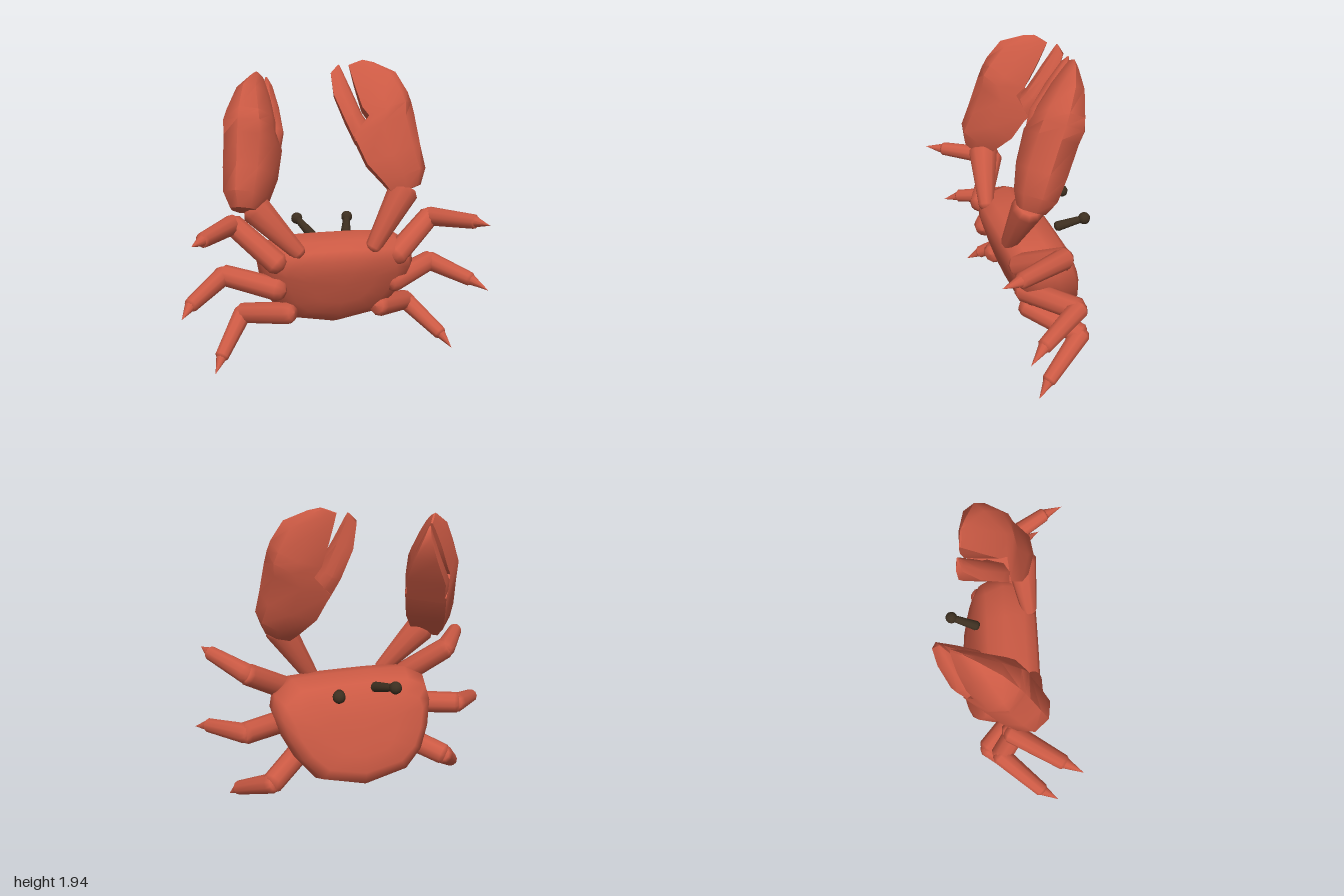
import * as THREE from 'three';
import { toCreasedNormals } from 'three/addons/utils/BufferGeometryUtils.js';

const V3 = (p) => new THREE.Vector3(...p);

// Skin a list of equal-length rings (counter-clockwise about the advance axis) and cap both ends
function loft(rings) {
  const n = rings[0].length, pos = [], idx = [];
  rings.forEach((r) => r.forEach((p) => pos.push(...p)));
  for (let i = 0; i < rings.length - 1; i++) {
    for (let j = 0; j < n; j++) {
      const a = i * n + j, b = i * n + (j + 1) % n;
      idx.push(a, b, b + n, a, b + n, a + n);
    }
  }
  [rings[0], rings[rings.length - 1]].forEach((r, end) => {
    const c = pos.length / 3, base = end ? (rings.length - 1) * n : 0;
    pos.push(...[0, 1, 2].map((k) => r.reduce((s, p) => s + p[k], 0) / n));
    for (let j = 0; j < n; j++) {
      const a = base + j, b = base + (j + 1) % n;
      if (end) idx.push(c, a, b); else idx.push(c, b, a);
    }
  });
  const g = new THREE.BufferGeometry();
  g.setAttribute('position', new THREE.Float32BufferAttribute(pos, 3));
  g.setIndex(idx);
  g.computeVertexNormals();
  return g;
}

// Mesh whose geometry runs along +y, turned to point from a to b
function aim(name, geo, a, b, material) {
  const mesh = new THREE.Mesh(geo, material);
  mesh.name = name;
  mesh.position.set(...a);
  mesh.quaternion.setFromUnitVectors(new THREE.Vector3(0, 1, 0), V3(b).sub(V3(a)).normalize());
  return mesh;
}

// Rounded, tapered segment between two points
function segment(name, a, b, r1, r2, material) {
  const len = V3(a).distanceTo(V3(b));
  const profile = [[0, -r1 * 0.7], [r1 * 0.7, -r1 * 0.5], [r1, 0], [r2, len],
    [r2 * 0.7, len + r2 * 0.35], [0, len + r2 * 0.4]].map((p) => new THREE.Vector2(...p));
  return aim(name, new THREE.LatheGeometry(profile, 10), a, b, material);
}

// Pointed leg tip
function spike(a, b, r, material) {
  const len = V3(a).distanceTo(V3(b));
  return aim('legTip', new THREE.ConeGeometry(r, len, 10).translate(0, len / 2, 0), a, b, material);
}

// Claw piece from rows of [along, outer edge, inner edge, half thickness];
// 'blunt' is the relative thickness of the inner edge
function clawPart(name, rows, blunt, material) {
  const rings = rows.map(([v, l, r, t]) => {
    const w = r - l, e = blunt * t;
    return [[l, v, 0], [l + w * 0.16, v, t * 0.75], [l + w * 0.55, v, t], [r, v, e],
      [r, v, -e], [l + w * 0.55, v, -t], [l + w * 0.16, v, -t * 0.75]];
  });
  const mesh = new THREE.Mesh(toCreasedNormals(loft(rings), 0.9), material);
  mesh.name = name;
  return mesh;
}

// Whole claw, placed by its wrist, length axis and thumb direction
function claw(name, wrist, along, thumb, material) {
  const g = new THREE.Group();
  g.name = name;
  g.add(clawPart('palmAndFinger', [
    [-0.04, -0.11, 0.08, 0.09], [0.05, -0.178, 0.11, 0.135], [0.2, -0.2, 0.17, 0.155],
    [0.4, -0.235, 0.185, 0.16], [0.48, -0.245, 0.05, 0.16], [0.55, -0.247, 0.07, 0.14],
    [0.7, -0.22, 0.062, 0.085], [0.81, -0.11, 0.052, 0.03], [0.85, -0.05, 0.048, 0.006],
  ], 0.8, material));
  g.add(clawPart('thumb', [
    [0.36, 0.04, 0.187, 0.128], [0.52, 0.08, 0.2, 0.135], [0.7, 0.09, 0.208, 0.075],
    [0.84, 0.1, 0.175, 0.022], [0.875, 0.104, 0.114, 0.005],
  ], 0.9, material));
  const v = V3(along).normalize();
  const u = V3(thumb).addScaledVector(v, -V3(thumb).dot(v)).normalize();
  const w = new THREE.Vector3().crossVectors(u, v);
  g.quaternion.setFromRotationMatrix(new THREE.Matrix4().makeBasis(u, v, w));
  g.position.set(...wrist);
  return g;
}

export function createModel() {
  const shell = new THREE.MeshStandardMaterial({ color: 0xcc5a44 });
  shell.name = 'shellRed';
  const dark = new THREE.MeshStandardMaterial({ color: 0x3d2f20 });
  dark.name = 'eyeBrown';
  const crab = new THREE.Group();
  crab.name = 'crab';

  // Body: one outline scaled through its depth, leaning back and slightly turned
  const outline = [[0.565, 0.66], [0.54, 0.76], [0.42, 0.85], [0.2, 0.862], [-0.1, 0.865],
    [-0.33, 0.86], [-0.45, 0.8], [-0.47, 0.7], [-0.435, 0.52], [-0.37, 0.36], [-0.25, 0.235],
    [0.05, 0.165], [0.34, 0.235], [0.46, 0.38], [0.53, 0.52]];
  const layers = [[-0.3, 0.45, 0.35], [-0.288, 0.8, 0.66], [-0.25, 0.93, 0.88], [-0.14, 1, 1],
    [0, 0.97, 0.93], [0.08, 0.88, 0.8], [0.12, 0.7, 0.6], [0.135, 0.4, 0.33]];
  const body = new THREE.Mesh(loft(layers.map(([z, sx, sy]) => outline.map(([px, py]) => {
    const x = 0.04 + (px - 0.04) * sx, y = 0.53 + (py - 0.53) * sy;
    return [x, y, z + 0.3 * (y - 0.52) + 0.09 * (x - 0.04)];
  }))), shell);
  body.name = 'body';
  crab.add(body);

  // Legs: hip, knee, ankle, tip
  const legs = {
    leftUpperLeg: [[0.40, 0.725, 0.15], [0.7, 0.92, 0.0], [0.86, 0.97, 0.34], [0.9, 0.98, 0.47]],
    leftMiddleLeg: [[0.40, 0.53, 0.115], [0.75, 0.565, -0.08], [0.92, 0.52, 0.22], [0.995, 0.475, 0.34]],
    leftLowerLeg: [[0.33, 0.34, 0.06], [0.62, 0.24, -0.18], [0.77, 0.09, 0.11], [0.82, 0.01, 0.2]],
    rightUpperLeg: [[-0.38, 0.735, 0.1], [-0.62, 0.96, -0.09], [-0.85, 0.975, 0.2], [-0.93, 0.98, 0.31]],
    rightMiddleLeg: [[-0.37, 0.55, 0.08], [-0.68, 0.59, -0.17], [-0.93, 0.51, 0.07], [-1.0, 0.465, 0.17]],
    rightLowerLeg: [[-0.3, 0.36, 0.04], [-0.55, 0.265, -0.25], [-0.74, 0.08, -0.02], [-0.8, 0.005, 0.07]],
  };
  for (const [name, [hip, knee, ankle, tip]] of Object.entries(legs)) {
    const leg = new THREE.Group();
    leg.name = name;
    leg.add(segment('thigh', hip, knee, 0.076, 0.07, shell));
    leg.add(segment('shin', knee, ankle, 0.065, 0.047, shell));
    leg.add(spike(ankle, tip, 0.038, shell));
    crab.add(leg);
  }

  // Arms and claws
  crab.add(segment('leftArm', [0.245, 0.8, 0.15], [0.455, 1.15, 0.12], 0.052, 0.1, shell));
  crab.add(segment('rightArm', [-0.245, 0.8, 0.11], [-0.49, 1.08, 0.03], 0.052, 0.1, shell));
  crab.add(claw('leftClaw', [0.46, 1.18, 0.09], [-0.21, 0.74, -0.33], [-1, -0.373, -0.2], shell));
  crab.add(claw('rightClaw', [-0.55, 1.12, 0.025], [0.185, 0.76, -0.37], [0.52, -0.45, -0.7], shell));

  // Eye stalks with round ends
  const eyes = { leftEye: [[0.18, 0.79, -0.22], [0.24, 0.845, -0.38]],
    rightEye: [[-0.07, 0.8, -0.2], [-0.12, 0.86, -0.4]] };
  for (const [name, [a, b]] of Object.entries(eyes)) {
    const eye = new THREE.Group();
    eye.name = name;
    eye.add(segment('stalk', a, b, 0.034, 0.022, dark));
    const ball = new THREE.Mesh(new THREE.SphereGeometry(0.04, 10, 8), dark);
    ball.name = 'eyeball';
    ball.position.set(...b);
    eye.add(ball);
    crab.add(eye);
  }
  return crab;
}
